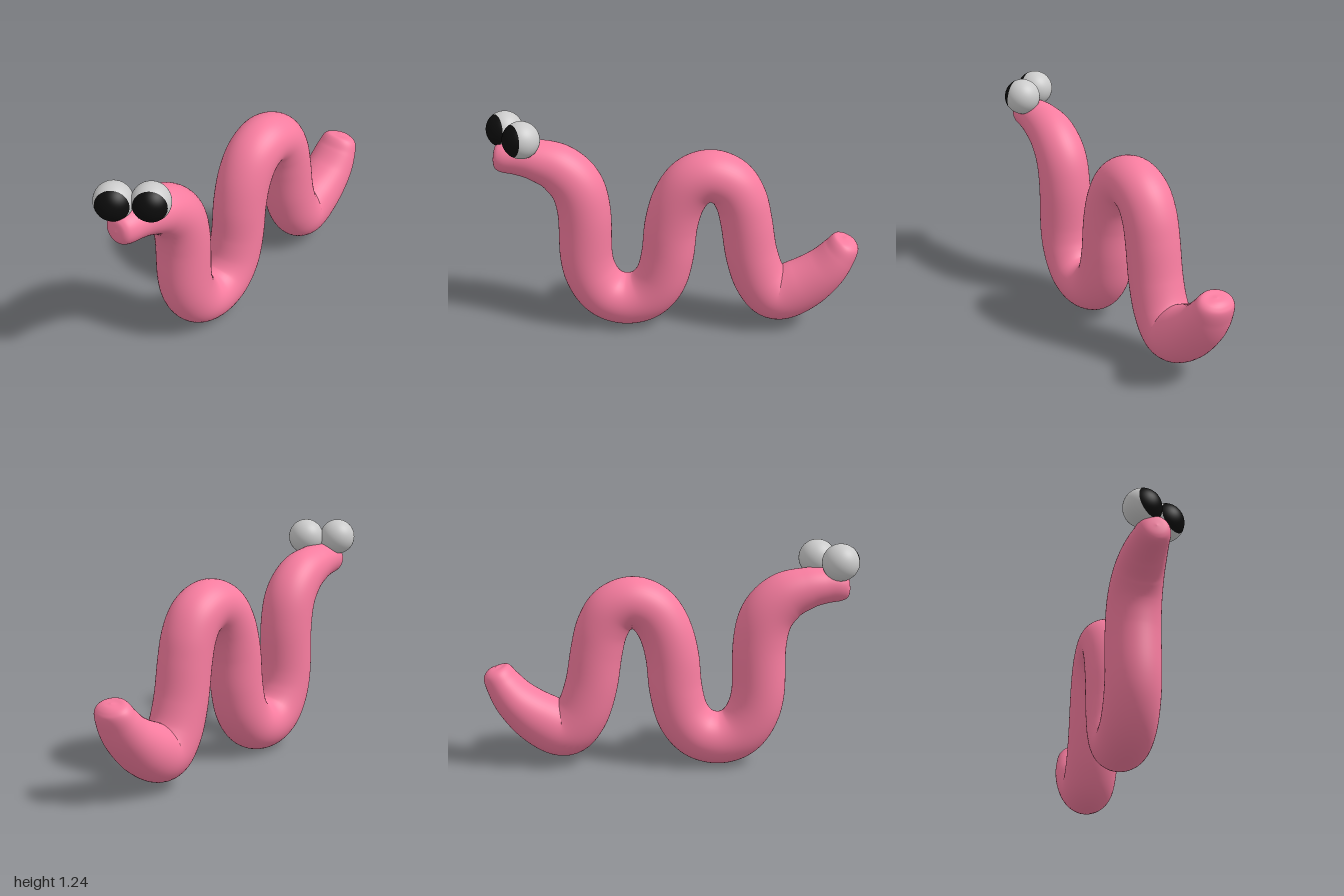
import * as THREE from 'three';

// Body stations from nose to tail tip: z, y, radius in the bend plane, sideways radius
const STATIONS = [
  [0.945, 1.018, 0, 0], [0.935, 1.017, 0.06, 0.06], [0.9, 1.014, 0.086, 0.086],
  [0.82, 1.01, 0.096, 0.1], [0.72, 0.995, 0.113, 0.117], [0.6, 0.945, 0.135, 0.133],
  [0.51, 0.84, 0.145, 0.143], [0.475, 0.68, 0.146, 0.146], [0.472, 0.42, 0.146, 0.146],
  [0.437, 0.28, 0.146, 0.146], [0.365, 0.185, 0.146, 0.146], [0.26, 0.15, 0.145, 0.146],
  [0.15, 0.182, 0.146, 0.146], [0.07, 0.28, 0.146, 0.146], [0.03, 0.43, 0.146, 0.146],
  [0.01, 0.62, 0.146, 0.146], [-0.03, 0.77, 0.145, 0.146], [-0.1, 0.876, 0.144, 0.146],
  [-0.2, 0.917, 0.142, 0.146], [-0.3, 0.876, 0.142, 0.146], [-0.36, 0.78, 0.142, 0.146],
  [-0.392, 0.65, 0.142, 0.146], [-0.425, 0.45, 0.144, 0.146], [-0.48, 0.29, 0.148, 0.146],
  [-0.57, 0.205, 0.155, 0.146], [-0.7, 0.26, 0.148, 0.146], [-0.82, 0.36, 0.122, 0.14],
  [-0.895, 0.465, 0.097, 0.122], [-0.928, 0.54, 0.072, 0.09], [-0.934, 0.558, 0, 0],
];
const SLOPE = 0.215; // the whole body lies in one upright, slightly turned plane
const xAt = (z) => -0.02 + SLOPE * z;

// Sweep an elliptical cross-section along the body curve
function bodyGeometry(rings, sides) {
  const path = new THREE.CatmullRomCurve3(
    STATIONS.map(([z, y]) => new THREE.Vector3(xAt(z), y, z)), false, 'catmullrom', 0.5);
  const radii = new THREE.CatmullRomCurve3(
    STATIONS.map(([, , r, s]) => new THREE.Vector3(r, s, 0)), false, 'catmullrom', 0.5);
  const side = new THREE.Vector3(1, 0, -SLOPE).normalize();
  const positions = [], index = [];
  for (let i = 0; i <= rings; i++) {
    const t = i / rings;
    const centre = path.getPoint(t), size = radii.getPoint(t);
    const normal = path.getTangent(t).cross(side).normalize();
    for (let j = 0; j < sides; j++) {
      const a = (j / sides) * Math.PI * 2;
      const p = centre.clone()
        .addScaledVector(side, Math.cos(a) * Math.max(size.y, 0))
        .addScaledVector(normal, Math.sin(a) * Math.max(size.x, 0));
      positions.push(p.x, p.y, p.z);
      if (i === rings) continue;
      const k = (j + 1) % sides;
      const p0 = i * sides + j, p1 = i * sides + k;
      index.push(p0, p1, p0 + sides, p1, p1 + sides, p0 + sides);
    }
  }
  const geometry = new THREE.BufferGeometry();
  geometry.setAttribute('position', new THREE.Float32BufferAttribute(positions, 3));
  geometry.setIndex(index);
  geometry.computeVertexNormals();
  return geometry;
}

export function createModel() {
  const model = new THREE.Group();
  model.name = 'worm';
  const pink = new THREE.MeshStandardMaterial({ color: 0xf87da0 });
  const grey = new THREE.MeshStandardMaterial({ color: 0xcccccc });
  const black = new THREE.MeshStandardMaterial({ color: 0x0c0c0c });

  const body = new THREE.Mesh(bodyGeometry(232, 48), pink);
  body.name = 'body';
  model.add(body);

  // Eyes: a ball with a dark curved cap that looks forward and to the left
  const ball = new THREE.SphereGeometry(0.1, 48, 32);
  const cap = new THREE.SphereGeometry(0.1008, 48, 16, 0, Math.PI * 2, 0, 1.01);
  const gaze = new THREE.Vector3(0.73, 0.12, 0.67).normalize();
  const eyes = [['rightEye', 0.115, 0.897], ['leftEye', 0.235, 0.76]];
  for (const [name, x, z] of eyes) {
    const eye = new THREE.Group();
    eye.name = name;
    const eyeball = new THREE.Mesh(ball, grey);
    eyeball.name = 'eyeball';
    const pupil = new THREE.Mesh(cap, black);
    pupil.name = 'pupil';
    pupil.quaternion.setFromUnitVectors(new THREE.Vector3(0, 1, 0), gaze);
    eye.add(eyeball, pupil);
    eye.position.set(x, 1.146, z);
    model.add(eye);
  }
  return model;
}
